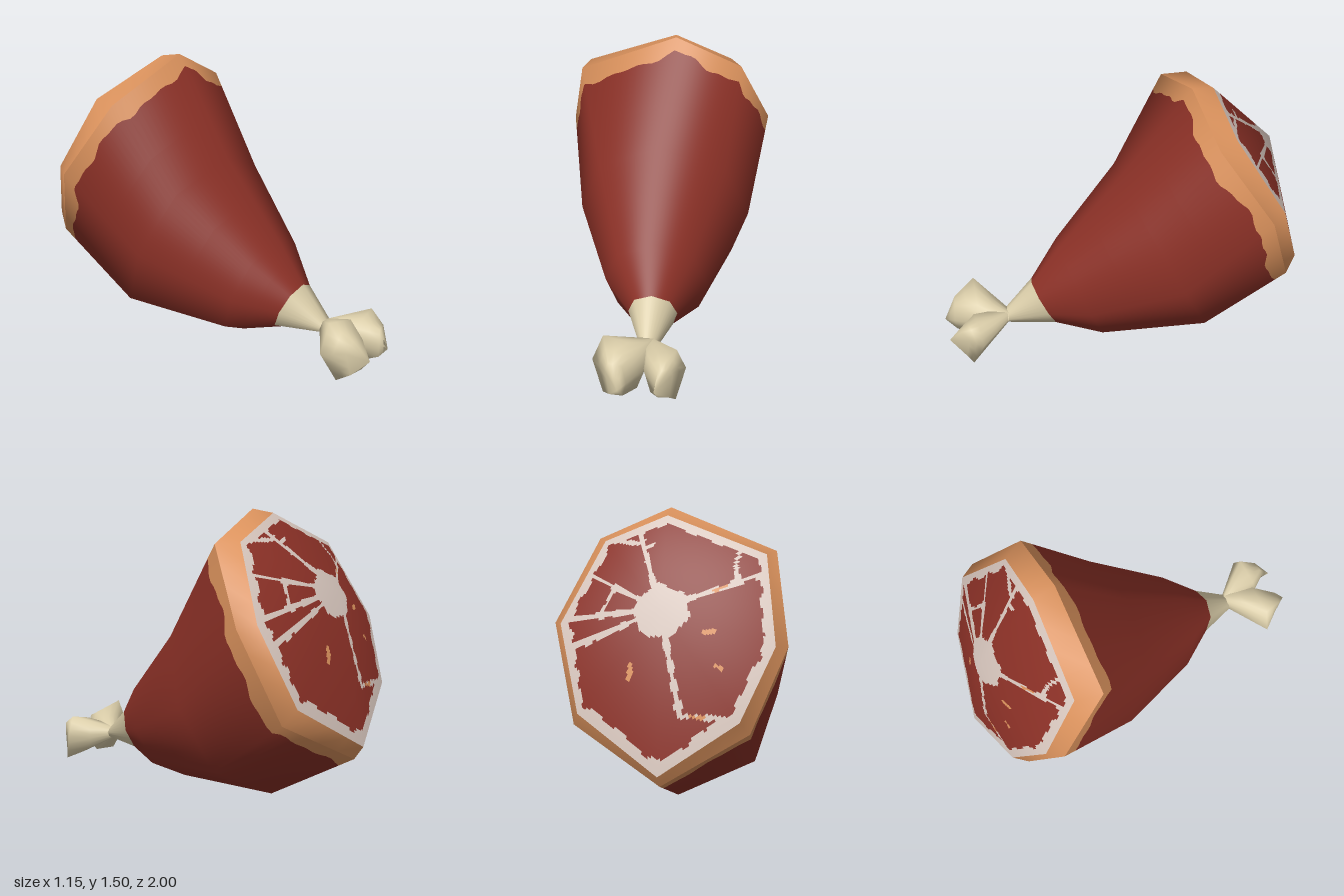
import * as THREE from 'three';

const paint = (name, color) => Object.assign(new THREE.MeshStandardMaterial({ color }), { name });

// Closed surface through rings of equal point count, with smooth normals at the ring points
function surface(rings) {
  const P = rings.map(r => r.map(p => new THREE.Vector3(...p)));
  const n = P[0].length, sums = new Map();
  const key = v => v.toArray().map(c => c.toFixed(4)).join();
  const addFace = (a, b, c) => {
    const f = b.clone().sub(a).cross(c.clone().sub(a));
    for (const v of [a, b, c]) {
      if (!sums.has(key(v))) sums.set(key(v), new THREE.Vector3());
      sums.get(key(v)).add(f);
    }
  };
  for (let i = 0; i + 1 < P.length; i++) {
    for (let j = 0; j < n; j++) {
      const k = (j + 1) % n;
      addFace(P[i][j], P[i][k], P[i + 1][k]);
      addFace(P[i][j], P[i + 1][k], P[i + 1][j]);
    }
  }
  const N = P.map(r => r.map(v => sums.get(key(v)).clone().normalize()));
  const blend = (G, s, t) => {
    const i = Math.min(Math.floor(t), P.length - 2), j = Math.floor(s) % n, k = (j + 1) % n;
    const fs = s - Math.floor(s);
    return G[i][j].clone().lerp(G[i][k], fs).lerp(G[i + 1][j].clone().lerp(G[i + 1][k], fs), t - i);
  };
  return { n, point: (s, t) => blend(P, s, t), normal: (s, t) => blend(N, s, t).normalize() };
}

// Mesh of the part of a surface between levels (numbers or functions of s); keep() picks cells
function patch(name, material, surf, sub, levels, keep = () => true) {
  const pos = [], nor = [], idx = [], cols = surf.n * sub;
  const level = (l, s) => (typeof l === 'function' ? l(s) : l);
  levels.forEach((l, i) => {
    for (let j = 0; j <= cols; j++) {
      const s = j / sub, t = level(l, s);
      pos.push(...surf.point(s, t));
      nor.push(...surf.normal(s, t));
      if (i + 1 === levels.length || j === cols) continue;
      const sm = (j + 0.5) / sub, tm = (level(l, sm) + level(levels[i + 1], sm)) / 2;
      if (!keep(sm, tm)) continue;
      const a = i * (cols + 1) + j, c = a + cols + 1;
      idx.push(a, a + 1, c + 1, a, c + 1, c);
    }
  });
  const g = new THREE.BufferGeometry();
  g.setAttribute('position', new THREE.Float32BufferAttribute(pos, 3));
  g.setAttribute('normal', new THREE.Float32BufferAttribute(nor, 3));
  g.setIndex(idx);
  const mesh = new THREE.Mesh(g, material);
  mesh.name = name;
  return mesh;
}

// Eight-sided tilted ring from half width and its top and bottom (y, z)
function legRing(w, [ty, tz], [by, bz]) {
  const shape = [[0, 0], [0.72, 0.14], [1, 0.48], [0.81, 0.81], [0, 1], [-0.81, 0.81], [-1, 0.48], [-0.72, 0.14]];
  return shape.map(([x, f]) => [x * w, ty + (by - ty) * f, tz + (bz - tz) * f]);
}

export function createModel() {
  const group = new THREE.Group();
  const red = paint('meat red', 0x8a3026);
  const orange = paint('fat orange', 0xd9915c);
  const cream = paint('bone cream', 0xd9cca8);
  const pale = paint('pale marbling', 0xd6c5bc);

  // Outer edge of the thick end and the rim of the cut
  const edge = [[0.05, 1.505, -0.37], [0.41, 1.34, -0.4], [0.575, 0.96, -0.65], [0.44, 0.5, -0.82],
    [-0.02, 0.27, -0.95], [-0.43, 0.52, -0.83], [-0.58, 0.91, -0.66], [-0.48, 1.31, -0.38]];
  const rim = [[0.04, 1.485, -0.49], [0.35, 1.35, -0.51], [0.52, 0.98, -0.73], [0.4, 0.58, -0.88],
    [-0.02, 0.34, -1], [-0.39, 0.6, -0.9], [-0.53, 0.93, -0.74], [-0.45, 1.32, -0.52]];
  const apex = [0, 1.11, -0.85];

  // Leg, from the bone neck to the thick end, with a wavy border of fat
  const leg = surface([
    legRing(0.05, [0.22, 0.66], [0.15, 0.66]),
    legRing(0.13, [0.38, 0.51], [0.1, 0.38]),
    legRing(0.28, [0.59, 0.35], [0.01, 0.12]),
    legRing(0.48, [0.99, 0], [0.01, -0.47]),
    edge,
  ]);
  const wave = s => {
    const a = s * Math.PI / 4;
    return 3.85 + 0.025 * Math.sin(a * 5 + 1) + 0.02 * Math.sin(a * 11) + 0.012 * Math.sin(a * 23 + 2);
  };
  group.add(patch('boneShaft', cream, leg, 4, [0, 1]));
  group.add(patch('meat', red, leg, 12, [1, 1.5, 2, 2.5, 3, 3.4, wave]));
  group.add(patch('fatBorder', orange, leg, 12, [wave, 4]));
  group.add(patch('fatBand', orange, surface([edge, rim]), 4, [0, 1]));

  // Domed cut: seams run between points given as (s around the rim, r from the centre)
  const cut = surface([rim, rim.map(() => apex)]);
  const at = ([s, r]) => cut.point(s, 1 - r);
  const lines = list => list.map(([a, b, w]) => ({ line: new THREE.Line3(at(a), at(b)), w }));
  const seams = lines([
    [[0.45, 0.1], [0.45, 0.95], 0.014],
    [[0.45, 0.72], [7.7, 0.95], 0.012],
    [[0.45, 0.78], [0.85, 0.95], 0.01],
    [[1.4, 0.1], [1.4, 0.95], 0.012],
    [[1.9, 0.1], [1.95, 0.95], 0.014],
    [[2.35, 0.1], [2.3, 0.95], 0.015],
    [[1.4, 0.6], [1.95, 0.6], 0.01],
    [[4.35, 0.1], [4.39, 0.72], 0.016],
    [[4.39, 0.72], [4.95, 0.95], 0.012],
    [[6.8, 0.1], [6.8, 0.95], 0.013],
    [[7.1, 0.78], [6.8, 0.72], 0.01],
    [[7.1, 0.78], [7.2, 0.95], 0.01],
  ]);
  const flecks = lines([
    [[3.25, 0.45], [3.35, 0.55], 0.013],
    [[5.8, 0.42], [5.9, 0.48], 0.012],
    [[5.3, 0.62], [5.35, 0.68], 0.01],
    [[4.5, 0.76], [4.7, 0.83], 0.008],
    [[6.8, 0.5], [6.8, 0.62], 0.008],
  ]);
  const near = new THREE.Vector3(), centre = new THREE.Vector3(...apex);
  const kind = (s, t) => {
    const p = cut.point(s, t), r = 1 - t;
    const wobble = Math.sin(p.x * 37 + p.y * 21) * Math.sin(p.y * 43 - p.x * 17);
    const hits = list => list.some(({ line, w }) =>
      line.closestPointToPoint(p, true, near).distanceTo(p) < w * (1 + 0.45 * wobble));
    if (hits(flecks)) return 'fleck';
    if (r > 0.91 + 0.025 * wobble || p.distanceTo(centre) < 0.135 + 0.012 * wobble || hits(seams)) return 'pale';
    return 'red';
  };
  const steps = Array.from({ length: 49 }, (_, i) => i / 48);
  const cutParts = [['cutMuscle', red, 'red'], ['cutMarbling', pale, 'pale'], ['cutFlecks', orange, 'fleck']];
  for (const [name, material, which] of cutParts) {
    group.add(patch(name, material, cut, 24, steps, (s, t) => kind(s, t) === which));
  }

  // Two knuckles at the end of the bone, the second one mirrored and a little smaller
  const tip = Array(6).fill([-0.12, 0.13, 1]);
  const end = [[-0.19, 0.17, 0.9], [-0.17, 0.24, 0.93], [-0.1, 0.23, 0.94],
    [-0.08, 0.14, 0.95], [-0.1, 0.06, 0.94], [-0.17, 0.05, 0.92]];
  const mid = [[-0.27, 0.17, 0.8], [-0.21, 0.32, 0.81], [-0.02, 0.275, 0.82],
    [0, 0.16, 0.84], [-0.04, 0.04, 0.84], [-0.21, 0.02, 0.86]];
  const neck = [180, 120, 60, 0, -60, -120].map(d => {
    const a = d * Math.PI / 180;
    return [0.052 * Math.cos(a), 0.185 + 0.037 * Math.sin(a), 0.655];
  });
  const knuckle = [tip, end, mid, neck];
  const smaller = knuckle.map((ring, i) => ring.map(([x, y, z]) => [
    -x * (i === 0 ? 0.5 : 0.76),
    i < 3 && y > 0.17 ? 0.17 + (y - 0.17) * 0.72 : y,
    i === 2 ? z + 0.03 : z,
  ]).reverse());
  group.add(patch('rightKnuckle', cream, surface(knuckle), 3, [0, 0.5, 1, 1.5, 2, 2.5, 3]));
  group.add(patch('leftKnuckle', cream, surface(smaller), 3, [0, 0.5, 1, 1.5, 2, 2.5, 3]));

  return group;
}
